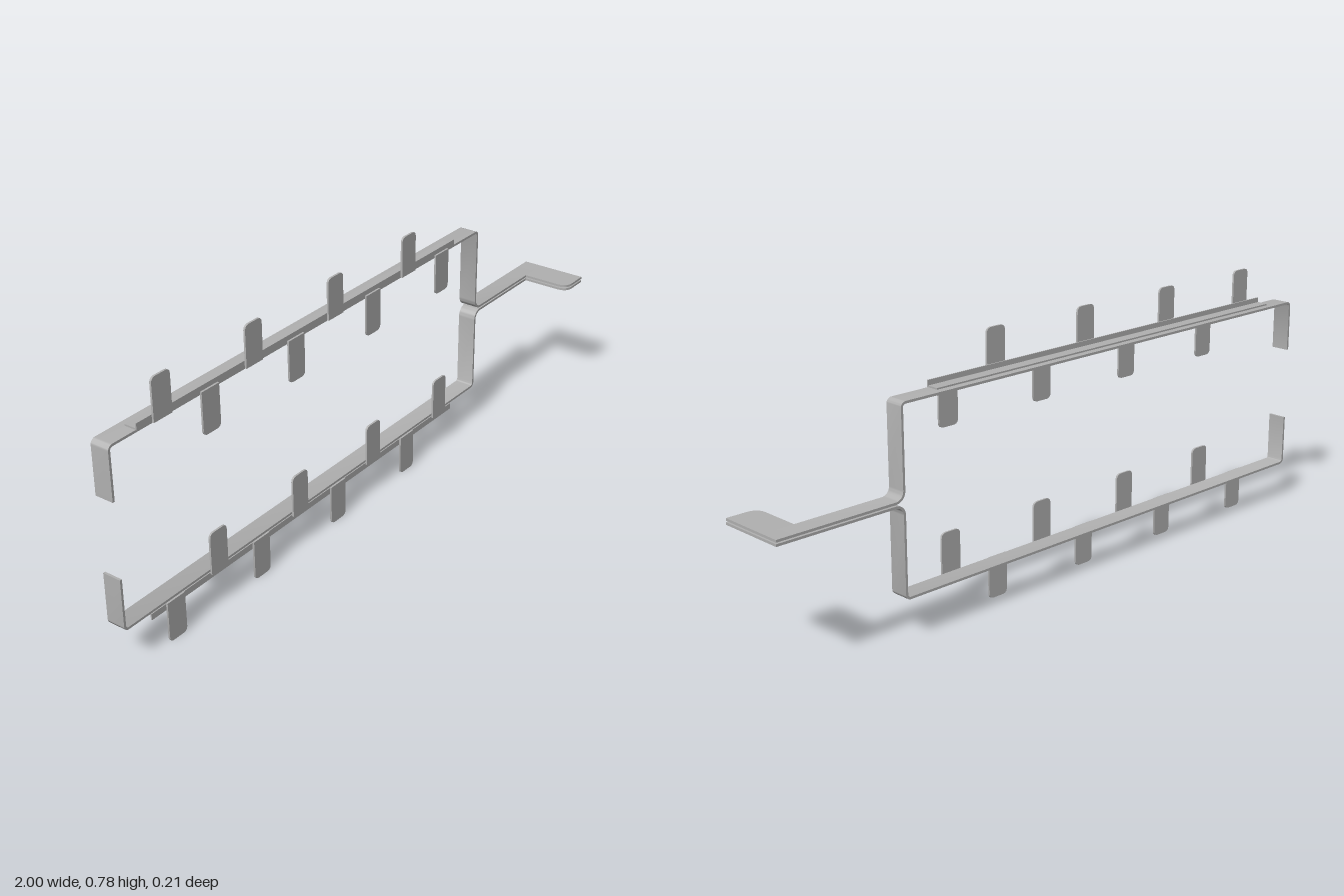
import * as THREE from 'three';
import { toCreasedNormals } from 'three/addons/utils/BufferGeometryUtils.js';

const MID = 0.39;                    // height of the mirror plane
const T = 0.007;                     // strap thickness
const BACK = -0.105, FRONT = -0.048; // strap depth range

// Centreline with rounded corners: each point is [x, y, radius]
function filletedLine(pts) {
  const out = [new THREE.Vector2(pts[0][0], pts[0][1])];
  for (let i = 1; i < pts.length - 1; i++) {
    const [p, c, n] = [pts[i - 1], pts[i], pts[i + 1]].map(a => new THREE.Vector2(a[0], a[1]));
    const r = pts[i][2];
    const a = p.sub(c).normalize(), b = n.sub(c).normalize();
    const centre = c.clone().addScaledVector(a, r).addScaledVector(b, r);
    for (let k = 0; k <= 8; k++) {
      const t = (k / 8) * Math.PI / 2;
      out.push(centre.clone().addScaledVector(b, -r * Math.cos(t)).addScaledVector(a, -r * Math.sin(t)));
    }
  }
  const e = pts[pts.length - 1];
  out.push(new THREE.Vector2(e[0], e[1]));
  return out;
}

// Closed outline of a ribbon of constant thickness around a line
function ribbonShape(line, thickness) {
  const left = [], right = [];
  line.forEach((p, i) => {
    const d = line[Math.min(i + 1, line.length - 1)].clone().sub(line[Math.max(i - 1, 0)]).normalize();
    const n = new THREE.Vector2(-d.y, d.x).multiplyScalar(thickness / 2);
    left.push(p.clone().add(n));
    right.unshift(p.clone().sub(n));
  });
  return new THREE.Shape([...left, ...right]);
}

// Tab outline with rounded free end; dir is +1 or -1
function tabShape(width, y0, y1, r) {
  const w = width / 2, d = Math.sign(y1 - y0);
  const s = new THREE.Shape();
  s.moveTo(-w, y0);
  s.lineTo(-w, y1 - d * r);
  s.quadraticCurveTo(-w, y1, -w + r, y1);
  s.lineTo(w - r, y1);
  s.quadraticCurveTo(w, y1, w, y1 - d * r);
  s.lineTo(w, y0);
  return s;
}

const extrude = (shape, depth) => toCreasedNormals(
  new THREE.ExtrudeGeometry(shape, { depth, bevelEnabled: false, curveSegments: 6 }), 0.6);

export function createModel() {
  const model = new THREE.Group();
  model.name = 'busbarFrame';
  const metal = new THREE.MeshStandardMaterial({ color: 0xb0b0b0 });
  metal.name = 'grey metal';

  const add = (parent, name, geometry, x = 0, y = 0, z = 0) => {
    const mesh = new THREE.Mesh(geometry, metal);
    mesh.name = name;
    mesh.position.set(x, y, z);
    parent.add(mesh);
    return mesh;
  };
  // Box given by its ranges
  const addBox = (parent, name, x0, x1, y0, y1, z0, z1) => add(parent, name,
    new THREE.BoxGeometry(x1 - x0, Math.abs(y1 - y0), z1 - z0),
    (x0 + x1) / 2, (y0 + y1) / 2, (z0 + z1) / 2);

  for (const s of [1, -1]) {
    const half = new THREE.Group();
    half.name = s > 0 ? 'upperHalf' : 'lowerHalf';
    half.position.y = MID;
    model.add(half);

    // Bent strap: end hook, long run, drop to the middle, lead-out
    const top = 0.27 - T / 2, lug = 0.0055;
    const line = filletedLine([
      [-1 + T / 2, 0.113 * s], [-1 + T / 2, top * s, 0.012],
      [0.6, top * s, 0.012], [0.6, lug * s, 0.028], [1, lug * s],
    ]);
    add(half, 'strap', extrude(ribbonShape(line, T), FRONT - BACK), 0, 0, BACK);

    // Terminal plate turned forward at the end of the lead-out
    const plate = new THREE.Shape();
    plate.moveTo(0.905, FRONT);
    plate.lineTo(1, FRONT);
    plate.lineTo(1, 0.105);
    plate.lineTo(0.94, 0.105);
    plate.quadraticCurveTo(0.905, 0.105, 0.905, 0.07);
    const plateGeo = extrude(plate, T).rotateX(Math.PI / 2);
    add(half, 'terminalPlate', plateGeo, 0, lug * s + T / 2, 0);

    // Angle strip lying on the outside of the strap
    addBox(half, 'stripFlange', -0.905, 0.465, 0.27 * s, 0.2745 * s, -0.084, -0.045);
    addBox(half, 'stripLip', -0.905, 0.465, 0.2745 * s, 0.289 * s, -0.049, -0.045);

    // Alternating tabs, pointing outward and inward
    for (let i = 0; i < 8; i++) {
      const outward = i % 2 === 0;
      const shape = outward
        ? tabShape(0.066, 0.267 * s, 0.39 * s, 0.016)
        : tabShape(0.066, 0.2745 * s, 0.148 * s, 0.016);
      add(half, outward ? 'outerTab' : 'innerTab', extrude(shape, 0.006), -0.818 + i * 0.173, 0, -0.045);
    }
  }
  return model;
}
